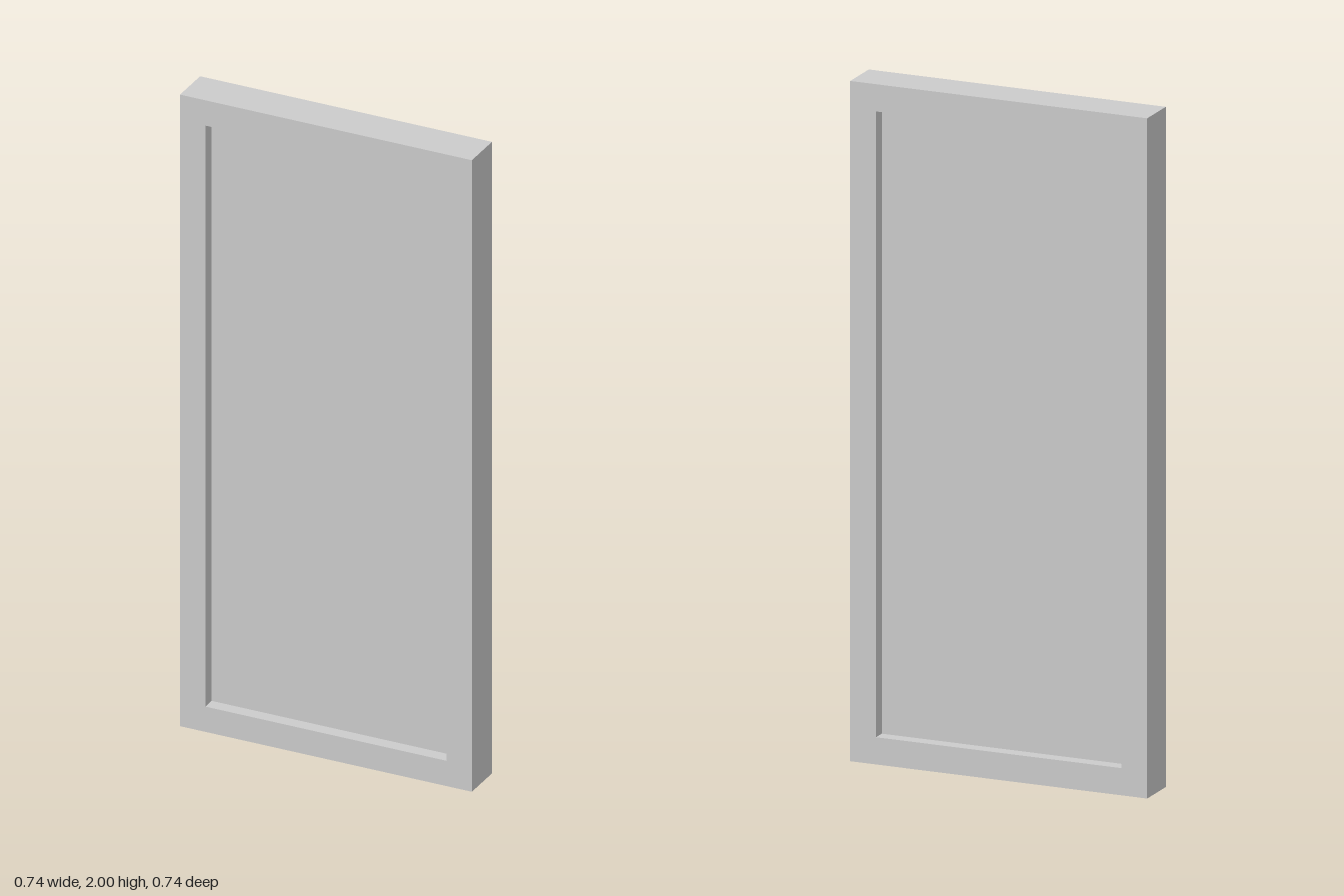
import * as THREE from 'three';

const WIDTH = 0.92, HEIGHT = 2, DEPTH = 0.128;
const BORDER = 0.08, RECESS = 0.04;

// Traces a rectangle centred on x, standing between two heights
function rectangle(path, halfWidth, bottom, top) {
  path.moveTo(-halfWidth, bottom);
  path.lineTo(halfWidth, bottom);
  path.lineTo(halfWidth, top);
  path.lineTo(-halfWidth, top);
  path.closePath();
  return path;
}

export function createModel() {
  const group = new THREE.Group();
  group.name = 'framedPanel';
  const material = new THREE.MeshStandardMaterial({ color: 0xcccccc });

  // Rectangular frame with a full-depth opening
  const outline = rectangle(new THREE.Shape(), WIDTH / 2, 0, HEIGHT);
  outline.holes.push(rectangle(new THREE.Path(), WIDTH / 2 - BORDER, BORDER, HEIGHT - BORDER));
  const frameGeometry = new THREE.ExtrudeGeometry(outline, { depth: DEPTH, bevelEnabled: false });
  frameGeometry.translate(0, 0, -DEPTH / 2);
  const frame = new THREE.Mesh(frameGeometry, material);
  frame.name = 'frame';

  // Flat panel set back equally from both faces
  const panel = new THREE.Mesh(
    new THREE.BoxGeometry(WIDTH - 2 * BORDER, HEIGHT - 2 * BORDER, DEPTH - 2 * RECESS),
    material
  );
  panel.name = 'panel';
  panel.position.y = HEIGHT / 2;

  // The whole piece stands turned by an eighth of a circle
  const door = new THREE.Group();
  door.name = 'door';
  door.add(frame, panel);
  door.rotation.y = -Math.PI / 4;
  group.add(door);
  return group;
}
